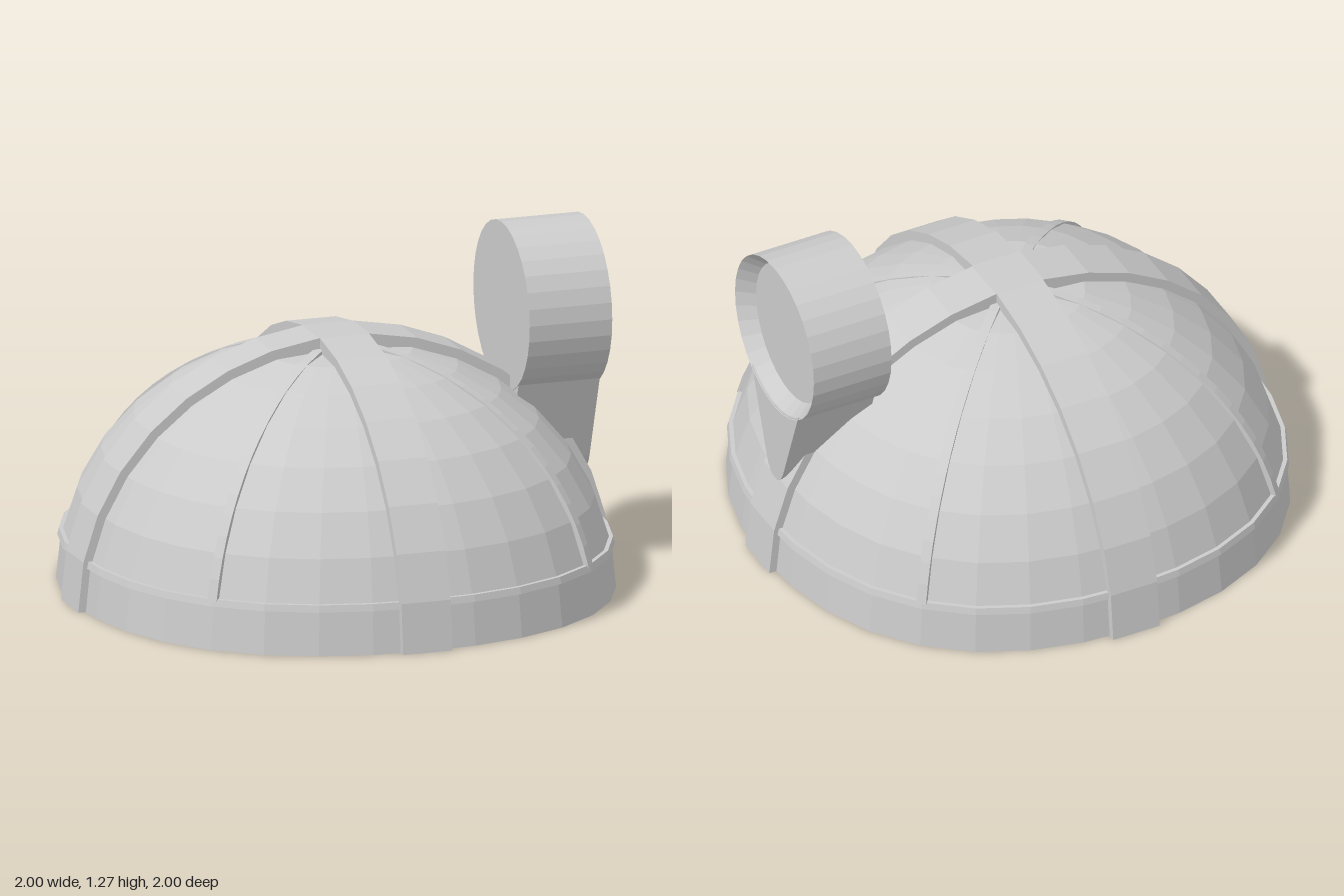
import * as THREE from 'three';

const material = new THREE.MeshStandardMaterial({ color: 0xcccccc, flatShading: true });

// Angles from the pole shared by the dome rings and the straps
const RING_DEGREES = [78.75, 68, 57.4, 46.6, 36.3, 26, 15.9];
const RINGS = RING_DEGREES.map(THREE.MathUtils.degToRad);

function addMesh(parent, name, geometry) {
  const mesh = new THREE.Mesh(geometry, material);
  mesh.name = name;
  parent.add(mesh);
  return mesh;
}

// Upright elliptical arch slab in the xy plane, centred on z = 0;
// angles run from the foot to the crown and are measured from the pole
function archGeometry(rx, ry, width, angles) {
  const right = angles.map((a) => new THREE.Vector2(rx * Math.sin(a), ry * Math.cos(a)));
  const left = right.map((p) => new THREE.Vector2(-p.x, p.y)).reverse();
  const shape = new THREE.Shape([...right, ...left]);
  const geometry = new THREE.ExtrudeGeometry(shape, { depth: width, bevelEnabled: false });
  return geometry.translate(0, 0, -width / 2);
}

function lathe(profile) {
  return new THREE.LatheGeometry(profile.map(([r, y]) => new THREE.Vector2(r, y)), 32);
}

// Pushes the diagonals outward so the round plan becomes slightly square
function squareOff(geometry) {
  const position = geometry.attributes.position;
  for (let i = 0; i < position.count; i++) {
    const x = position.getX(i), z = position.getZ(i);
    const scale = 1 + 0.037 * Math.sin(2 * Math.atan2(z, x)) ** 2;
    position.setX(i, x * scale);
    position.setZ(i, z * scale);
  }
  return geometry;
}

export function createModel() {
  const cap = new THREE.Group();
  cap.name = 'domedCap';
  cap.rotation.y = -0.025;

  // Dome: closed base, short side wall, faceted crown
  const crown = RINGS.map((a) => [0.975 * Math.sin(a), 0.9 * Math.cos(a)]);
  const domeProfile = [[0, 0], [0.978, 0], [0.962, 0.16], ...crown, [0, 0.89]];
  addMesh(cap, 'dome', squareOff(lathe(domeProfile)));

  // Thin lip running round the dome
  const lipProfile = [[0.93, 0.16], [0.974, 0.16], [0.968, 0.185], [0.93, 0.185]];
  addMesh(cap, 'rimLip', squareOff(lathe(lipProfile)));

  // Two wide straps crossing at the top
  const strapAngles = [Math.PI / 2, ...RINGS, 0.096];
  for (let i = 0; i < 2; i++) {
    const strap = addMesh(cap, i ? 'lengthStrap' : 'crossStrap', archGeometry(1, 0.934, 0.185, strapAngles));
    strap.rotation.y = i * Math.PI / 2;
  }

  // Narrow diagonal ribs above the lip
  const ribAngles = Array.from({ length: 16 }, (_, i) => 1.37 * (1 - i / 16));
  for (let i = 0; i < 2; i++) {
    const rib = addMesh(cap, 'diagonalRib' + (i + 1), archGeometry(1.027, 0.899, 0.036, ribAngles));
    rib.rotation.y = Math.PI / 4 + i * Math.PI / 2;
  }

  // Round lamp with a recessed face, pointing to +x
  const lampY = 0.963;
  const lampBody = lathe([[0, 0], [0.307, 0], [0.307, 0.31], [0.26, 0.25], [0, 0.25]]);
  lampBody.rotateZ(-Math.PI / 2);
  addMesh(cap, 'lamp', lampBody).position.set(0.622, lampY, 0);

  // Tapered bracket hugging the underside of the lamp
  const bracketShape = new THREE.Shape();
  const arcEnd = Math.atan2(-0.24, 0.18);
  bracketShape.moveTo(-0.18, lampY - 0.24);
  bracketShape.lineTo(-0.065, 0.4);
  bracketShape.quadraticCurveTo(-0.04, 0.338, 0, 0.338);
  bracketShape.quadraticCurveTo(0.04, 0.338, 0.065, 0.4);
  bracketShape.lineTo(0.18, lampY - 0.24);
  bracketShape.absarc(0, lampY, 0.3, arcEnd, -Math.PI - arcEnd, true);
  const bracket = new THREE.ExtrudeGeometry(bracketShape, { depth: 0.305, bevelEnabled: false, curveSegments: 8 });
  bracket.rotateY(Math.PI / 2);
  addMesh(cap, 'lampBracket', bracket).position.x = 0.625;

  const model = new THREE.Group();
  model.add(cap);
  return model;
}
